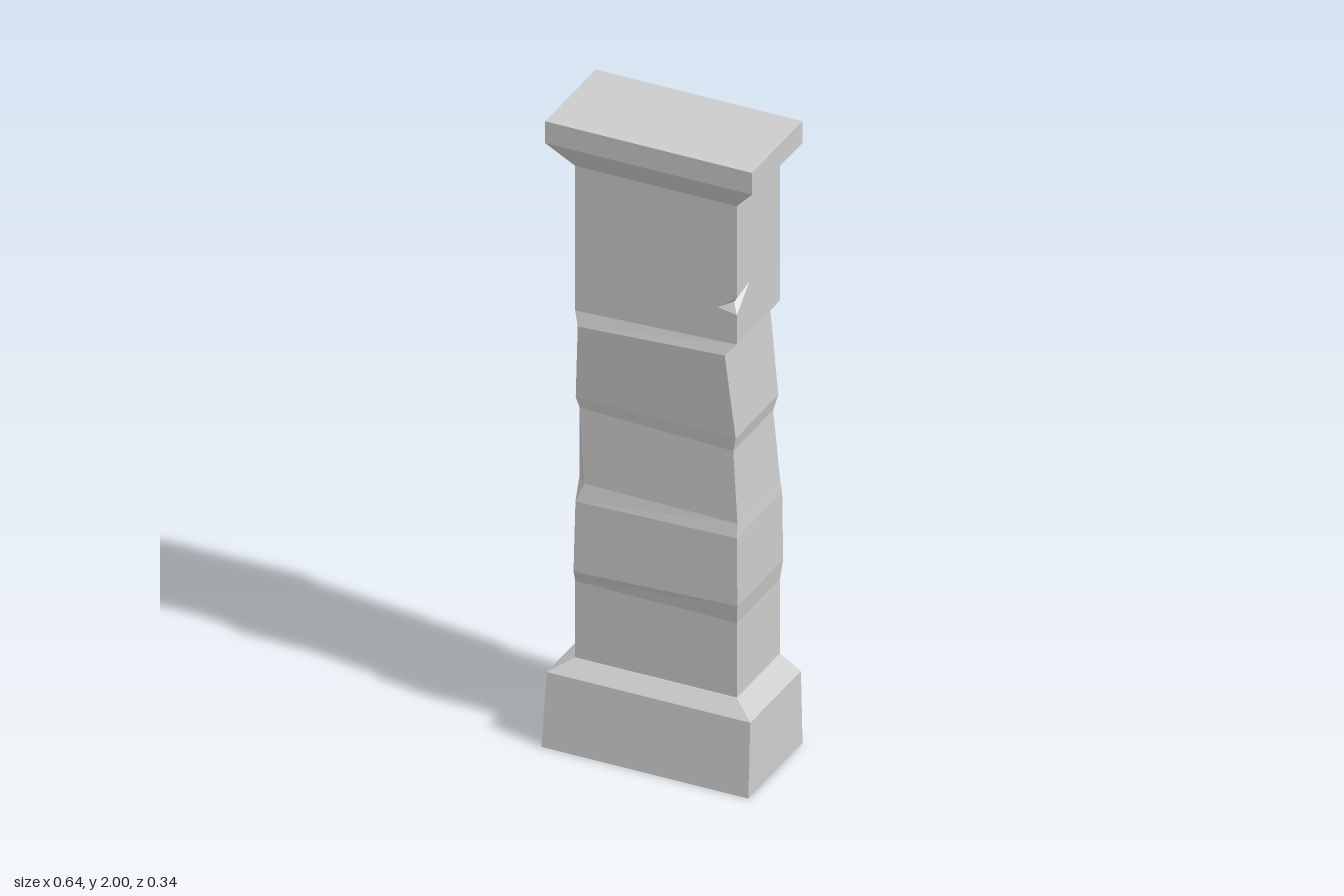
import * as THREE from 'three';

const BACK = -0.17;
const material = new THREE.MeshStandardMaterial({
  color: 0xcccccc, flatShading: true, side: THREE.DoubleSide,
});

// Mesh from a list of polygons, each fanned from its first corner
function polyMesh(name, polygons) {
  const pos = [];
  for (const p of polygons)
    for (let i = 1; i < p.length - 1; i++) pos.push(...p[0], ...p[i], ...p[i + 1]);
  const g = new THREE.BufferGeometry();
  g.setAttribute('position', new THREE.Float32BufferAttribute(pos, 3));
  g.computeVertexNormals();
  const mesh = new THREE.Mesh(g, material);
  mesh.name = name;
  return mesh;
}

// U-shaped cross-section, open at the back; chip bevels the front corner at -x
function ring(yl, yr, xl, xr, zf, back = BACK, chip = 0) {
  return [
    [xl, yl, back], [xl, yl, zf - chip], [xl + chip, yl, zf],
    [xr, yr, zf], [xr, yr, back],
  ];
}
const evenRing = (y, x, z) => ring(y, y, -x, x, z);

// Quads joining successive cross-sections
function loft(rings) {
  const quads = [];
  for (let i = 0; i < rings.length - 1; i++) {
    const a = rings[i], b = rings[i + 1];
    for (let j = 0; j < a.length - 1; j++) quads.push([a[j], a[j + 1], b[j + 1], b[j]]);
  }
  return quads;
}

export function createModel() {
  const group = new THREE.Group();
  group.name = 'pillar';

  // Tapered base with a sloped shoulder and a floor
  const foot = evenRing(0, 0.32, 0.17);
  const shaftBottom = evenRing(0.27, 0.25, 0.1);
  group.add(polyMesh('base', [
    ...loft([foot, evenRing(0.23, 0.315, 0.147), shaftBottom]),
    [foot[0], foot[4], foot[3], foot[2]],
  ]));

  // Weathered shaft with slanted ledges
  const upper = ring(1.385, 1.405, -0.25, 0.25, 0.1);
  const shaftTop = evenRing(1.85, 0.25, 0.1);
  group.add(polyMesh('shaft', loft([
    shaftBottom,
    ring(0.515, 0.51, -0.25, 0.25, 0.1),
    ring(0.555, 0.575, -0.247, 0.26, 0.117),
    ring(0.78, 0.79, -0.243, 0.257, 0.113),
    ring(0.835, 0.83, -0.252, 0.252, 0.1, -0.167, 0.03),
    ring(1.07, 1.055, -0.24, 0.235, 0.092, -0.158),
    ring(1.105, 1.1, -0.25, 0.245, 0.097),
    ring(1.345, 1.37, -0.235, 0.22, 0.115),
    upper,
  ])));

  // Top block of the shaft with a notch broken out of its front corner
  const frontTip = [0.19, 1.51, 0.1], sideTip = [0.25, 1.567, 0.02];
  const notchTop = [0.25, 1.553, 0.1], notchLow = [0.25, 1.5, 0.1];
  const notchDeep = [0.233, 1.53, 0.083];
  group.add(polyMesh('upperShaft', [
    [upper[0], upper[1], shaftTop[1], shaftTop[0]],
    [frontTip, notchTop, shaftTop[3], shaftTop[2], upper[2], upper[3], notchLow],
    [sideTip, notchLow, upper[3], upper[4], shaftTop[4], shaftTop[3], notchTop],
  ]));
  group.add(polyMesh('cornerNotch', [
    [frontTip, notchDeep, notchTop], [notchTop, notchDeep, sideTip],
    [sideTip, notchDeep, notchLow], [notchLow, notchDeep, frontTip],
  ]));

  // Flared cap with a lid and a narrow back strip
  const capLow = evenRing(1.93, 0.32, 0.147);
  const capTop = evenRing(2, 0.32, 0.147);
  group.add(polyMesh('cap', [
    ...loft([shaftTop, capLow, capTop]),
    [capTop[0], capTop[2], capTop[3], capTop[4]],
    [capLow[4], capLow[0], capTop[0], capTop[4]],
  ]));

  return group;
}
